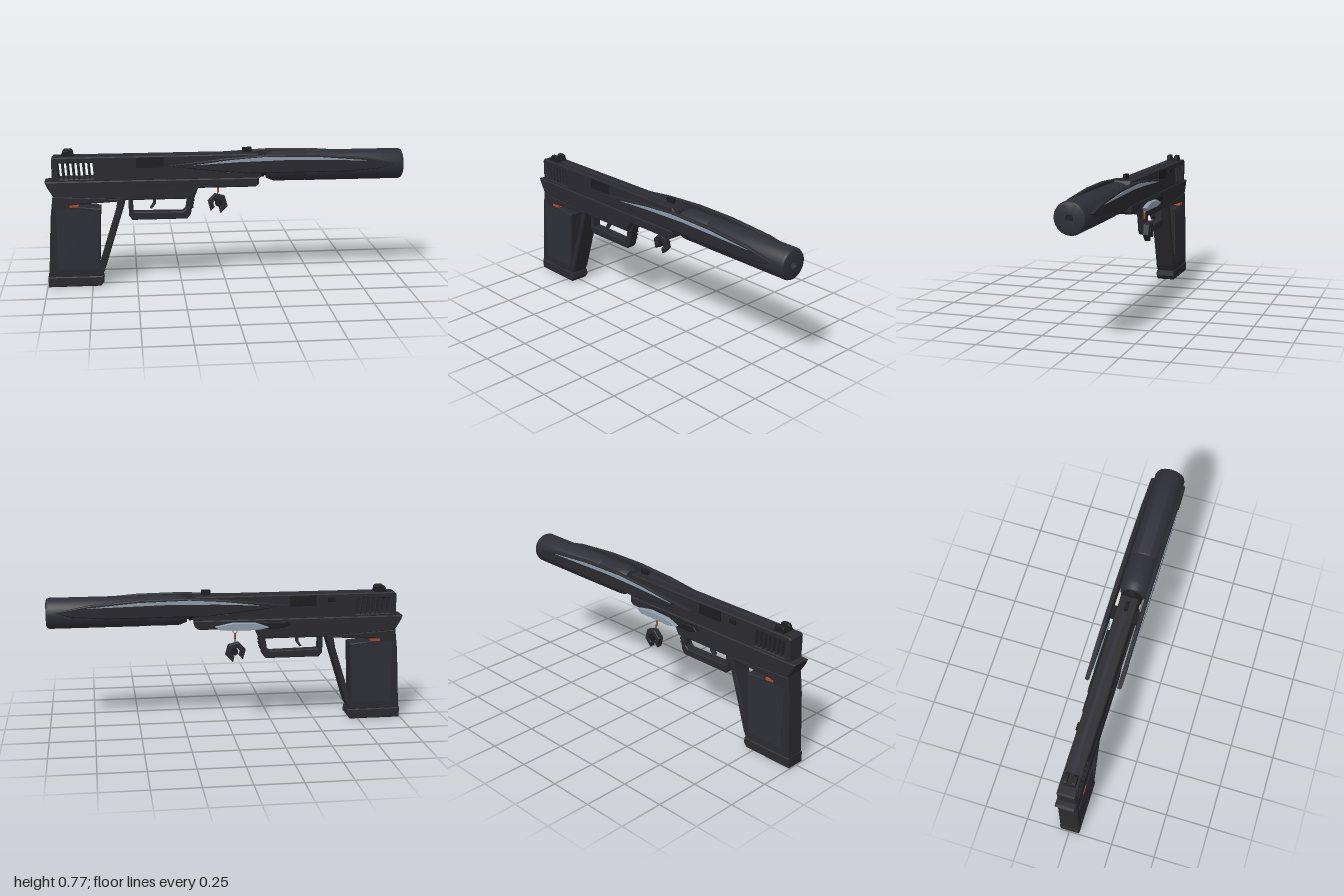
import * as THREE from 'three';
import { toCreasedNormals } from 'three/addons/utils/BufferGeometryUtils.js';

const mat = (name, color) => {
  const m = new THREE.MeshStandardMaterial({ color });
  m.name = name;
  return m;
};

export function createModel() {
  const model = new THREE.Group();
  const dark = mat('darkPolymer', 0x29292f);
  const metal = mat('gunmetal', 0x2e2e37);
  const black = mat('black', 0x1d1d21);
  const silver = mat('silver', 0x8d9baa);
  const orange = mat('orange', 0xb2492c);

  const add = (name, geo, material, x = 0, y = 0, z = 0) => {
    const m = new THREE.Mesh(geo, material);
    m.name = name;
    m.position.set(x, y, z);
    model.add(m);
    return m;
  };
  // Box given by its limits on each axis
  const box = (name, material, [x0, x1], [y0, y1], [z0, z1]) =>
    add(name, new THREE.BoxGeometry(x1 - x0, y1 - y0, z1 - z0), material,
      (x0 + x1) / 2, (y0 + y1) / 2, (z0 + z1) / 2);
  // Side outline extruded from z0 to z1, with bevelled edges and holes
  const slab = (name, material, pts, z0, z1, bevel = 0.006, holes = []) => {
    const v = (list) => list.map(([x, y]) => new THREE.Vector2(x, y));
    const shape = new THREE.Shape(v(pts));
    holes.forEach((h) => shape.holes.push(new THREE.Path(v(h))));
    const geo = new THREE.ExtrudeGeometry(shape, {
      depth: z1 - z0 - 2 * bevel, bevelEnabled: bevel > 0, bevelSize: bevel,
      bevelThickness: bevel, bevelOffset: -bevel, bevelSegments: 1,
    });
    return add(name, geo, material, 0, 0, z0 + bevel);
  };
  // Profile of [x, radius] turned around the barrel axis
  const axisY = 0.657;
  const turned = (name, material, profile) => {
    const geo = new THREE.LatheGeometry(
      profile.map(([x, r]) => new THREE.Vector2(r, x)), 40);
    geo.rotateZ(-Math.PI / 2);
    return add(name, toCreasedNormals(geo, 0.5), material, 0, axisY, 0);
  };

  // Slide with open slanted slots at the back and two small ones ahead
  const slot = (x, w, y0, y1, lean) =>
    [[x, y0], [x + w, y0], [x + w + lean, y1], [x + lean, y1]];
  const slots = [];
  for (let i = 0; i < 7; i++) slots.push(slot(-0.915 + i * 0.0285, 0.018, 0.615, 0.703, -0.006));
  slots.push(slot(0.005, 0.013, 0.635, 0.657, 0.012), slot(0.048, 0.013, 0.635, 0.657, 0.012));
  slab('slide', dark, [[-0.955, 0.598], [0.19, 0.598], [0.2, 0.61], [0.2, 0.71],
    [0.18, 0.735], [-0.945, 0.735], [-0.955, 0.725]], -0.05, 0.05, 0.005, slots);
  box('slideTopRib', metal, [-0.83, 0.15], [0.733, 0.739], [-0.012, 0.012]);
  box('ejectionPort', black, [-0.495, -0.345], [0.67, 0.728], [-0.056, 0.053]);
  box('extractor', black, [-0.6, -0.56], [0.69, 0.715], [-0.06, -0.045]);

  // Sights
  for (const s of [-1, 1]) {
    slab('rearSightPost', black, [[-0.9, 0.73], [-0.835, 0.73], [-0.84, 0.765],
      [-0.852, 0.77], [-0.885, 0.77], [-0.895, 0.76]], s * 0.023 - 0.011, s * 0.023 + 0.011, 0.002);
  }
  box('rearSightBase', black, [-0.9, -0.835], [0.73, 0.748], [-0.034, 0.034]);
  box('frontSight', black, [0.095, 0.145], [0.73, 0.765], [-0.009, 0.009]);

  // Frame, with the beak at the back and the dust cover in front
  slab('frame', dark, [[-0.995, 0.6], [-0.985, 0.575], [-0.95, 0.515], [-0.61, 0.495],
    [-0.56, 0.49], [-0.19, 0.49], [-0.155, 0.55], [0.165, 0.55], [0.185, 0.565], [0.185, 0.602],
    [-0.98, 0.602]], -0.055, 0.055);
  slab('triggerGuard', dark, [[-0.54, 0.52], [-0.54, 0.395], [-0.52, 0.37], [-0.215, 0.37],
    [-0.195, 0.395], [-0.182, 0.47], [-0.15, 0.552], [-0.2, 0.552]], -0.028, 0.028, 0.004,
  [[[-0.515, 0.49], [-0.515, 0.415], [-0.24, 0.41], [-0.222, 0.425], [-0.212, 0.49]]]);
  for (let i = 0; i < 3; i++) {
    const y = 0.43 + i * 0.02;
    box('guardRidge', black, [-0.2, -0.18 + i * 0.003], [y, y + 0.009], [-0.024, 0.024]);
  }
  slab('trigger', metal, [[-0.405, 0.5], [-0.385, 0.5], [-0.39, 0.455], [-0.412, 0.428],
    [-0.422, 0.432], [-0.405, 0.46]], -0.014, 0.014, 0.002);

  // Grip with an opening behind its thin front strap
  slab('grip', dark, [[-0.955, 0.52], [-0.97, 0.4], [-0.99, 0.055], [-0.7, 0.055],
    [-0.68, 0.09], [-0.565, 0.46], [-0.555, 0.5]], -0.055, 0.055, 0.006,
  [[[-0.85, 0.46], [-0.84, 0.47], [-0.598, 0.483], [-0.61, 0.42], [-0.705, 0.12], [-0.692, 0.445]]]);
  for (const s of [-1, 1]) {
    slab('gripPanel', metal, [[-0.94, 0.45], [-0.7, 0.435], [-0.715, 0.1], [-0.94, 0.1],
      [-0.935, 0.13]], s * 0.056 - 0.002, s * 0.056 + 0.002, 0);
  }
  slab('gripBase', dark, [[-0.995, 0], [-0.705, 0], [-0.685, 0.025], [-0.69, 0.058],
    [-0.995, 0.06]], -0.057, 0.057);
  box('magazineCatch', orange, [-0.865, -0.815], [0.457, 0.47], [-0.058, 0.058]);

  // Barrel neck and suppressor
  turned('barrelNeck', black, [[0.15, 0], [0.15, 0.052], [0.195, 0.052], [0.195, 0.06],
    [0.215, 0.06], [0.215, 0.052], [0.28, 0.052]]);
  turned('suppressor', metal, [[0.23, 0], [0.23, 0.068], [0.265, 0.082], [0.28, 0.084],
    [0.44, 0.084], [0.444, 0.082], [0.45, 0.085], [0.98, 0.085], [0.993, 0.079],
    [0.997, 0.071], [0.997, 0.021], [0.95, 0.02], [0.95, 0]]);
  turned('bore', black, [[0.955, 0], [0.955, 0.019]]).material.side = THREE.DoubleSide;

  // Long side blades with silver streaks
  const blade = [[-0.32, 0.687], [-0.18, 0.666], [0.115, 0.636], [0.676, 0.636],
    [0.86, 0.65], [0.945, 0.676], [0.757, 0.714], [0.49, 0.735], [0.25, 0.738], [0.01, 0.725]];
  const streak = [[-0.18, 0.69], [0.06, 0.702], [0.32, 0.708], [0.78, 0.698],
    [0.5, 0.722], [0.22, 0.728], [0.03, 0.715]];
  for (const s of [-1, 1]) {
    slab('sideBlade', dark, blade, s * 0.089 - 0.012, s * 0.089 + 0.012, 0.005);
    slab('bladeStreak', silver, streak, s * 0.102 - 0.003, s * 0.102 + 0.003, 0);
    box('bladeMount', black, [0.06, 0.13], [0.66, 0.69],
      s > 0 ? [0.045, 0.08] : [-0.08, -0.045]);
  }

  // Lever on the right side
  slab('leverRail', black, [[-0.35, 0.57], [-0.3, 0.553], [0.02, 0.553], [0.02, 0.59],
    [-0.33, 0.59]], -0.08, -0.05, 0.003);
  slab('leverPlate', silver, [[-0.22, 0.565], [-0.16, 0.552], [0.05, 0.555], [0.08, 0.575],
    [-0.02, 0.595], [-0.15, 0.59]], -0.105, -0.08, 0.003);

  // Hanging charm: link and broken hexagonal ring with a stud
  add('charmLink', new THREE.TorusGeometry(0.012, 0.003, 6, 16), silver, -0.035, 0.54, -0.06);
  add('charmPin', new THREE.CylinderGeometry(0.006, 0.006, 0.035, 8), orange, -0.035, 0.513, -0.06);
  add('charmCord', new THREE.CylinderGeometry(0.003, 0.003, 0.04, 6), black, -0.035, 0.482, -0.07);
  const outer = [], inner = [];
  for (let i = 0; i < 6; i++) {
    const a = -1.3 + i * Math.PI / 3;
    outer.push([-0.035 + 0.058 * Math.cos(a), 0.428 + 0.058 * Math.sin(a)]);
    inner.unshift([-0.035 + 0.027 * Math.cos(a), 0.428 + 0.027 * Math.sin(a)]);
  }
  slab('charmRing', dark, [...outer, ...inner], -0.1, -0.065, 0.003);
  const stud = add('charmStud', new THREE.CylinderGeometry(0.02, 0.02, 0.042, 6), black, -0.03, 0.43, -0.08);
  stud.rotation.x = Math.PI / 2;

  return model;
}
